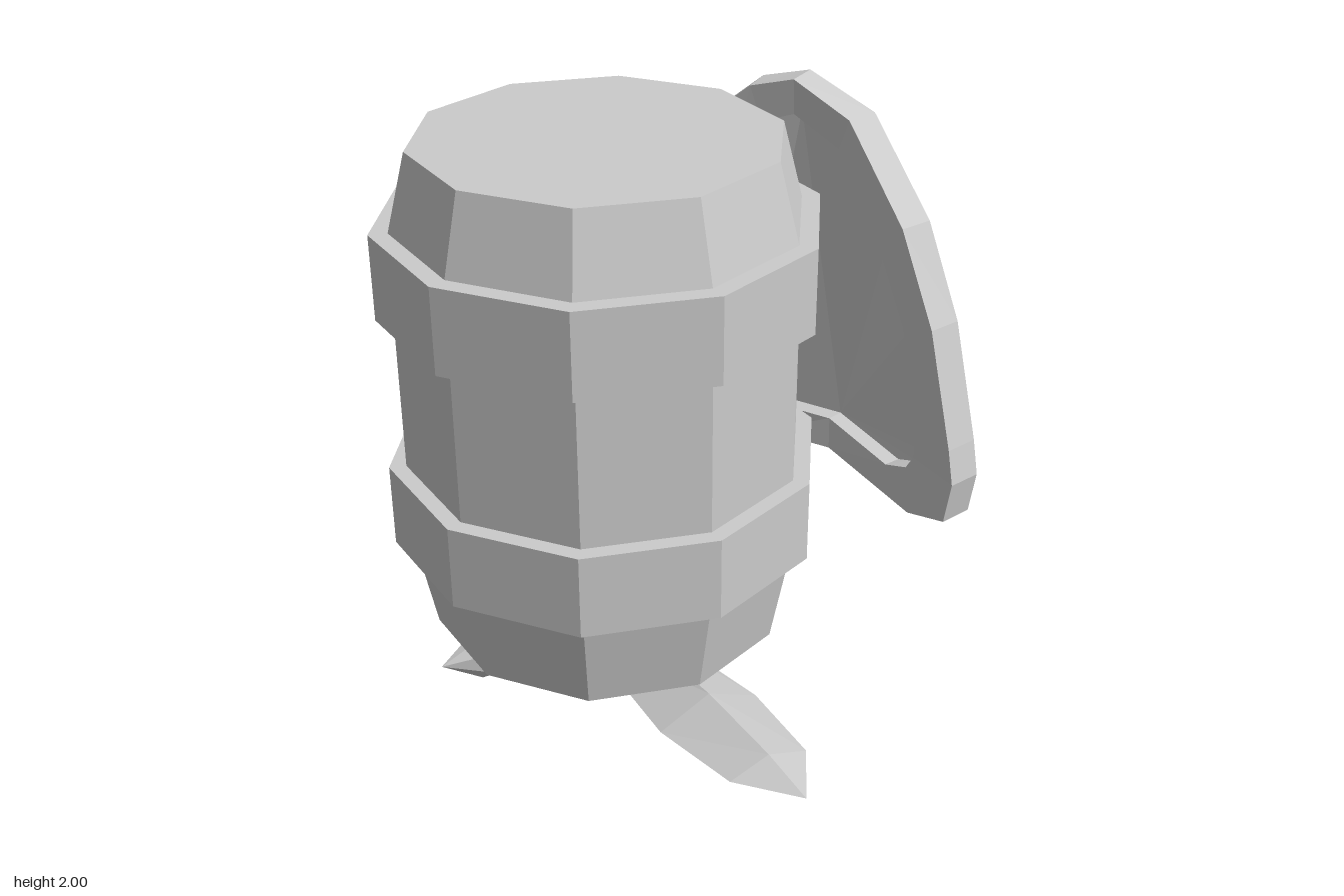
import * as THREE from 'three';

const mat = new THREE.MeshStandardMaterial({ color: 0xcccccc, flatShading: true });
const thinMat = new THREE.MeshStandardMaterial({ color: 0xcccccc, flatShading: true, side: THREE.DoubleSide });

function mesh(name, geometry, parent, material = mat) {
  const m = new THREE.Mesh(geometry, material);
  m.name = name;
  parent.add(m);
  return m;
}

function fromTriangles(points) {
  const g = new THREE.BufferGeometry().setFromPoints(points);
  g.computeVertexNormals();
  return g;
}

// Skin a list of closed cross-sections; loop joins the last one to the first
function loft(rings, loop = false) {
  const tris = [];
  const n = rings[0].length;
  for (let i = 0; i < rings.length - (loop ? 0 : 1); i++) {
    const A = rings[i], B = rings[(i + 1) % rings.length];
    for (let j = 0; j < n; j++) {
      const k = (j + 1) % n;
      tris.push(A[j], B[j], B[k], A[j], B[k], A[k]);
    }
  }
  return fromTriangles(tris);
}

function lathe(profile, sides) {
  return new THREE.LatheGeometry(profile.map(([r, y]) => new THREE.Vector2(r, y)), sides);
}

// Plan curve of the shield: [z, x] from back to front
const PLAN = [[-0.95, 0.16], [-0.69, 0.42], [-0.35, 0.655], [-0.15, 0.725], [0.13, 0.745], [0.45, 0.79]];

function planX(z) {
  let i = 0;
  while (i < PLAN.length - 2 && z > PLAN[i + 1][0]) i++;
  const [z0, x0] = PLAN[i], [z1, x1] = PLAN[i + 1];
  return x0 + (x1 - x0) * (z - z0) / (z1 - z0);
}

// Point on the bent shield, pushed out along its normal by off
function onShield(z, y, off) {
  const slope = (planX(z + 0.1) - planX(z - 0.1)) / 0.2;
  const len = Math.hypot(1, slope);
  return new THREE.Vector3(planX(z) + off / len, y, z - off * slope / len);
}

function buildBarrel() {
  const barrel = new THREE.Group();
  barrel.name = 'barrel';
  barrel.position.set(-0.193, 0, -0.22);
  // Staves, lid and recessed bottom in one profile
  mesh('barrelBody', lathe([[0, 0.45], [0.48, 0.45], [0.48, 0.33], [0.585, 0.33], [0.65, 0.67],
    [0.65, 1.72], [0.58, 1.99], [0, 1.99]], 10), barrel);
  for (const [name, y] of [['lowerHoop', 0.66], ['upperHoop', 1.46]]) {
    mesh(name, lathe([[0.63, y], [0.705, y], [0.705, y + 0.28], [0.63, y + 0.28]], 10), barrel);
  }
  return barrel;
}

function buildShield() {
  const shield = new THREE.Group();
  shield.name = 'shield';
  // Rim stations: outer z, y and inner z, y
  const rim = [
    [-0.36, 2.0, -0.36, 1.88], [-0.13, 1.91, -0.18, 1.8], [0.15, 1.63, 0.02, 1.56],
    [0.3, 1.33, 0.17, 1.29], [0.41, 0.94, 0.25, 0.93], [0.435, 0.82, 0.25, 0.84],
    [0.41, 0.67, 0.22, 0.79], [0.25, 0.63, 0.13, 0.76], [-0.16, 0.7, -0.17, 0.81],
    [-0.43, 0.69, -0.5, 0.81], [-0.86, 0.63, -0.78, 0.76], [-0.935, 0.68, -0.83, 0.79],
    [-0.94, 0.83, -0.83, 0.93], [-0.86, 1.15, -0.78, 1.2], [-0.71, 1.6, -0.65, 1.56],
    [-0.57, 1.88, -0.53, 1.78], [-0.49, 1.96, -0.46, 1.84],
  ];
  mesh('shieldRim', loft(rim.map(([zo, yo, zi, yi]) => [
    onShield(zo, yo, 0.06), onShield(zi, yi, 0.05), onShield(zi, yi, -0.05), onShield(zo, yo, -0.06),
  ]), true), shield);

  // Panel: two fans from the lower edge, meeting at the apex
  const p = rim.map(([, , zi, yi]) => onShield(zi, yi, 0.01));
  const tris = [];
  for (let i = 0; i < 7; i++) tris.push(p[8], p[i], p[i + 1]);
  tris.push(p[8], p[9], p[0]);
  for (let i = 10; i < p.length; i++) tris.push(p[9], p[i], p[(i + 1) % p.length]);
  mesh('shieldPanel', fromTriangles(tris), shield, thinMat);
  return shield;
}

function buildSword() {
  const sword = new THREE.Group();
  sword.name = 'sword';
  sword.position.x = -0.193;
  const V = (x, y, z) => new THREE.Vector3(x, y, z);

  // Diamond-section blade: z, half width, top, edge and bottom heights
  const blade = [[-0.3, 0.1, 0.265, 0.2, 0.14], [-0.23, 0.11, 0.275, 0.205, 0.14], [0.42, 0.18, 0.33, 0.25, 0.17],
    [0.76, 0.14, 0.32, 0.275, 0.235], [0.96, 0, 0.293, 0.293, 0.293]];
  mesh('blade', loft(blade.map(([z, w, top, mid, low]) =>
    [V(0, top, z), V(w, mid, z), V(0, low, z), V(-w, mid, z)])), sword);

  // Crossguard with pointed ends: x, half height, half depth
  const guard = [[-0.595, 0, 0], [-0.46, 0.08, 0.065], [-0.15, 0.095, 0.08], [0.15, 0.095, 0.08],
    [0.46, 0.08, 0.065], [0.595, 0, 0]];
  mesh('crossguard', loft(guard.map(([x, h, d]) => Array.from({ length: 8 }, (_, i) => {
    const a = (i + 0.5) * Math.PI / 4;
    return V(x, 0.2 + h * Math.cos(a) / 0.924, -0.32 - d * Math.sin(a) / 0.924);
  }))), sword);

  // Collar, grip and pommel turned around the sloping hilt axis
  const hilt = mesh('hilt', lathe([[0, 0], [0.1, 0], [0.135, 0.1], [0.13, 0.14], [0.115, 0.17], [0.145, 0.24],
    [0.11, 0.43], [0.145, 0.46], [0.15, 0.62], [0.115, 0.66], [0, 0.66]], 8), sword);
  hilt.position.set(0, 0.2, -0.225);
  hilt.rotation.x = -Math.PI / 2 - 0.075;
  return sword;
}

export function createModel() {
  const model = new THREE.Group();
  model.name = 'barrelWithShieldAndSword';
  model.add(buildBarrel(), buildShield(), buildSword());
  return model;
}
